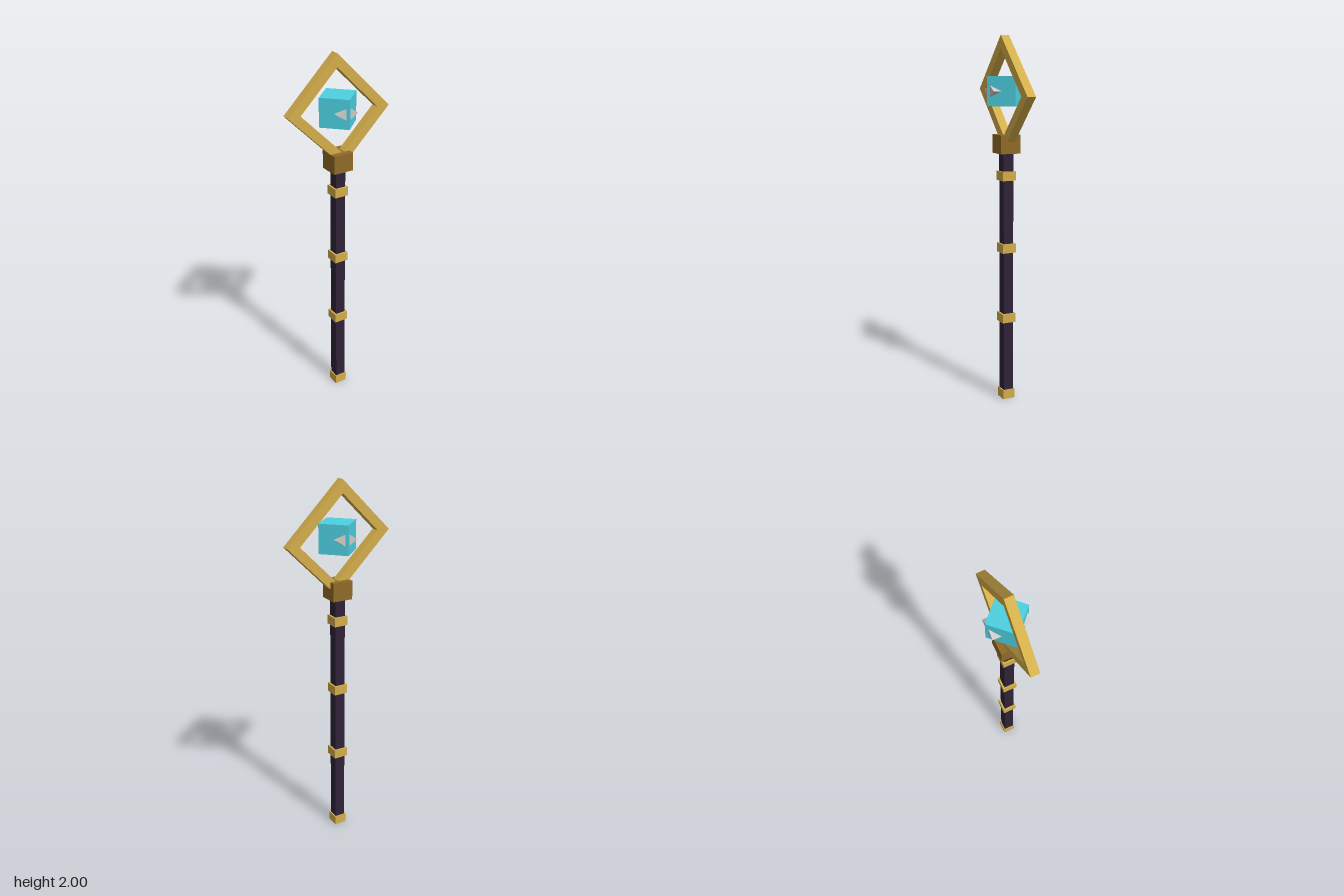
import * as THREE from 'three';

const mat = (name, color) => {
  const m = new THREE.MeshStandardMaterial({ color });
  m.name = name;
  return m;
};

export function createModel() {
  const gold = mat('gold', 0xd4ae4a);
  const bronze = mat('bronze', 0x8f6a26);
  const darkWood = mat('dark wood', 0x2e2238);
  const crystalBlue = mat('crystal blue', 0x4dd0e1);
  const silver = mat('silver', 0xcac7c4);
  const staff = new THREE.Group();
  staff.name = 'staff';

  const add = (name, geometry, material, y = 0, parent = staff) => {
    const mesh = new THREE.Mesh(geometry, material);
    mesh.name = name;
    mesh.position.y = y;
    parent.add(mesh);
    return mesh;
  };
  // Square block given by its width and its bottom and top heights
  const block = (name, width, y0, y1, material) =>
    add(name, new THREE.BoxGeometry(width, y1 - y0, width), material, (y0 + y1) / 2);

  // Shaft with its cap, bands and collar
  block('shaft', 0.057, 0.02, 1.4, darkWood);
  block('bottomCap', 0.07, 0, 0.052, gold);
  for (const y of [0.471, 0.865, 1.261]) block('band', 0.078, y - 0.025, y + 0.025, gold);
  block('collar', 0.113, 1.382, 1.482, bronze);

  // Tilted rectangular frame
  const rect = (Path, w, h) => new Path([
    [-w, -h], [w, -h], [w, h], [-w, h],
  ].map(([x, y]) => new THREE.Vector2(x / 2, y / 2)));
  const outline = rect(THREE.Shape, 0.395, 0.445);
  outline.holes.push(rect(THREE.Path, 0.297, 0.347));
  const frameGeometry = new THREE.ExtrudeGeometry(outline, { depth: 0.048, bevelEnabled: false });
  frameGeometry.translate(0, 0, -0.024);
  add('frame', frameGeometry, gold, 1.703).rotation.z = Math.PI / 4;

  // Floating crystal cube, turned on its corner
  const crystal = new THREE.Group();
  crystal.name = 'crystal';
  crystal.position.y = 1.71;
  staff.add(crystal);
  add('crystalCube', new THREE.BoxGeometry(0.157, 0.155, 0.157), crystalBlue, 0, crystal)
    .rotation.y = Math.PI / 4;

  // One three-sided spike on each side face, mirrored across x and z
  for (const sx of [1, -1]) for (const sz of [1, -1]) {
    const top = [0.012 * sx, 0.03, 0.099 * sz];
    const low = [0.012 * sx, -0.03, 0.099 * sz];
    const inner = [0.057 * sx, 0, 0.054 * sz];
    const tip = [0.057 * sx, 0, 0.1 * sz];
    const faces = [[low, tip, top], [top, tip, inner], [low, inner, tip], [low, top, inner]];
    const corners = faces.flatMap((f) => (sx * sz > 0 ? f : [...f].reverse())).flat();
    const spike = new THREE.BufferGeometry();
    spike.setAttribute('position', new THREE.Float32BufferAttribute(corners, 3));
    spike.computeVertexNormals();
    add('spike', spike, silver, 0, crystal);
  }
  return staff;
}
